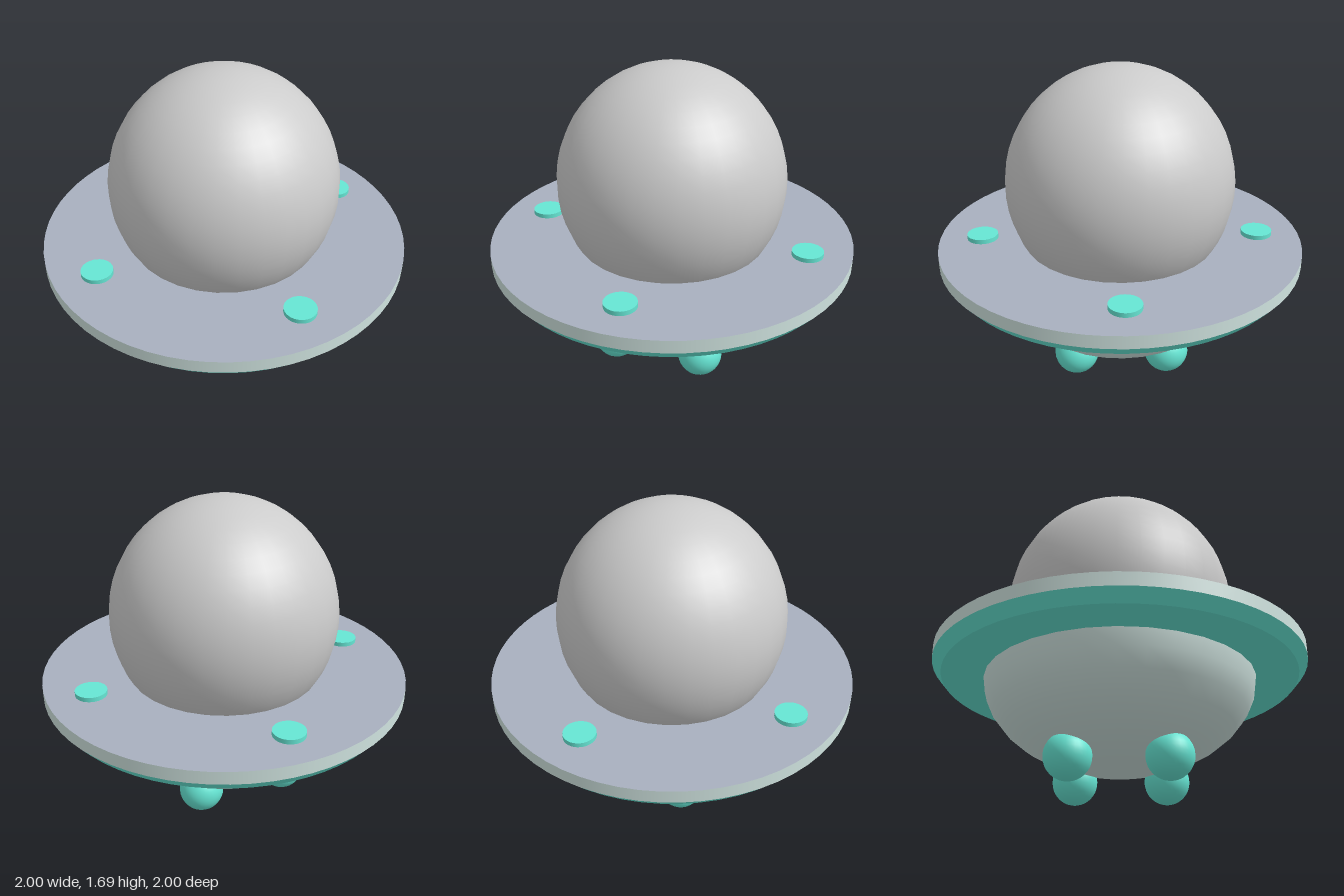
import * as THREE from 'three';

const SEGMENTS = 64;

export function createModel() {
  const model = new THREE.Group();
  model.name = 'saucer';

  const grey = new THREE.MeshStandardMaterial({ color: 0xcccccc });
  const pale = new THREE.MeshStandardMaterial({ color: 0xd0e4e0 });
  const slate = new THREE.MeshStandardMaterial({ color: 0xa8b0bf });
  const teal = new THREE.MeshStandardMaterial({ color: 0x66e6d4 });

  const add = (name, geometry, material, x = 0, y = 0, z = 0) => {
    const mesh = new THREE.Mesh(geometry, material);
    mesh.name = name;
    mesh.position.set(x, y, z);
    model.add(mesh);
    return mesh;
  };

  // Dome, cut off just below the deck
  const dome = new THREE.SphereGeometry(0.62, 32, 18, 0, Math.PI * 2, 0, Math.PI * 0.72);
  dome.scale(1, 1.03, 1);
  add('dome', dome, grey, 0, 1.05, 0);

  // Disc: pale edge with slate deck, bevelled teal band below
  const edge = new THREE.CylinderGeometry(1, 1, 0.07, SEGMENTS);
  add('disc', edge, [pale, slate, teal], 0, 0.685, 0);
  add('lowerBand', new THREE.CylinderGeometry(1, 0.95, 0.06, SEGMENTS), teal, 0, 0.62, 0);

  // Shallow bowl-shaped hull: quarter ellipse turned about the axis
  const profile = [];
  for (let i = 0; i <= 8; i++) {
    const a = (i / 8) * Math.PI / 2;
    profile.push(new THREE.Vector2(0.73 * Math.sin(a), 0.6 - 0.49 * Math.cos(a)));
  }
  add('hull', new THREE.LatheGeometry(profile, 32), pale);

  // Lamps around the deck, ball feet on the diagonals between them
  const lamp = new THREE.CylinderGeometry(0.085, 0.085, 0.035, 32);
  const foot = new THREE.SphereGeometry(0.122, 32, 16);
  for (let i = 0; i < 4; i++) {
    const a = i * Math.PI / 2;
    add('lamp', lamp, teal, 0.765 * Math.cos(a), 0.7275, 0.765 * Math.sin(a));
    const b = a + Math.PI / 4;
    add('foot', foot, teal, 0.354 * Math.cos(b), 0.122, 0.354 * Math.sin(b));
  }

  return model;
}
